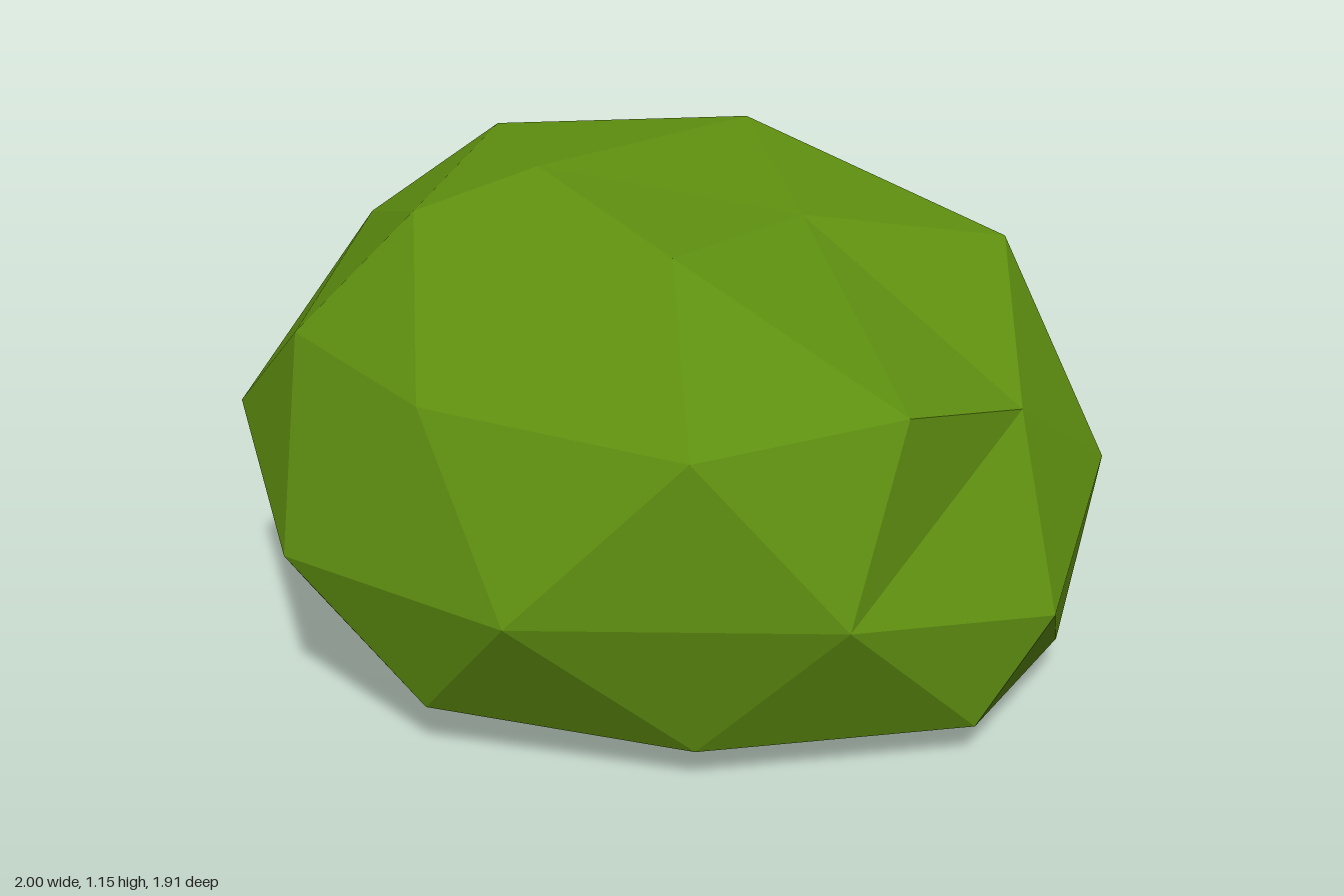
import * as THREE from 'three';
import { ConvexGeometry } from 'three/addons/geometries/ConvexGeometry.js';

const leafGreen = new THREE.MeshStandardMaterial({ color: 0x5f9010 });
leafGreen.name = 'leafGreen';

// Corners of the lump, level by level: x, y, z
const crown = [
  [-0.2, 1.155, 0.25], [0.23, 1.09, 0.565], [-0.41, 1.085, 0.44], [0.36, 1.065, 0.11],
  [0.06, 1.13, -0.4], [-0.5, 1.11, -0.2], [-0.7, 0.95, 0.08], [0.72, 0.935, -0.3],
];
const shoulder = [
  [0.36, 0.76, 0.82], [-0.24, 0.79, 0.8], [-0.66, 0.81, 0.54], [0.72, 0.79, 0.51], [0.87, 0.69, 0.13],
  [0.61, 0.58, -0.71], [0.2, 0.79, -0.74], [-0.39, 0.805, -0.73], [-0.8, 0.77, -0.41],
];
const waist = [
  [0.01, 0.4, 0.955], [0.67, 0.4, 0.725], [-0.57, 0.4, 0.8], [-0.94, 0.53, 0.32], [-1, 0.46, -0.25],
  [-0.68, 0.49, -0.74], [-0.16, 0.28, -0.955], [0.79, 0.26, -0.57], [0.99, 0.46, -0.22], [1, 0.3, 0.3],
];
const base = [
  [-0.96, 0.24, 0], [-0.7, 0.18, 0.49], [-0.23, 0.115, 0.83], [0.35, 0.08, 0.75], [0.87, 0.08, 0.44],
  [0.95, 0.085, -0.01], [0.23, 0.2, -0.74], [-0.36, 0.15, -0.82], [-0.78, 0.22, -0.435],
  [0.49, 0.07, -0.37], [-0.09, 0.12, -0.5], [0.56, 0, 0.26], [-0.55, 0.13, 0.02],
  [-0.11, 0.04, 0.51], [0.13, 0.06, -0.06],
];

// Round a corner out onto a unit sphere, so that every corner joins the faceting
function onSphere([x, y, z]) {
  const h = y - 0.44;
  return new THREE.Vector3(x, h * (h > 0 ? 1.6 : 2.3), z).normalize();
}

// Facet the sphere, then move each corner back to its place on the lump
function facetedLump(corners) {
  const directions = corners.map(onSphere);
  const geometry = new ConvexGeometry(directions);
  const position = geometry.attributes.position;
  const v = new THREE.Vector3();
  for (let i = 0; i < position.count; i++) {
    v.fromBufferAttribute(position, i);
    let nearest = 0;
    directions.forEach((d, k) => {
      if (d.distanceToSquared(v) < directions[nearest].distanceToSquared(v)) nearest = k;
    });
    position.setXYZ(i, ...corners[nearest]);
  }
  geometry.computeVertexNormals(); // unshared corners give flat facets
  return geometry;
}

export function createModel() {
  const group = new THREE.Group();
  group.name = 'bush';
  const foliage = new THREE.Mesh(facetedLump([...crown, ...shoulder, ...waist, ...base]), leafGreen);
  foliage.name = 'foliage';
  group.add(foliage);
  return group;
}
